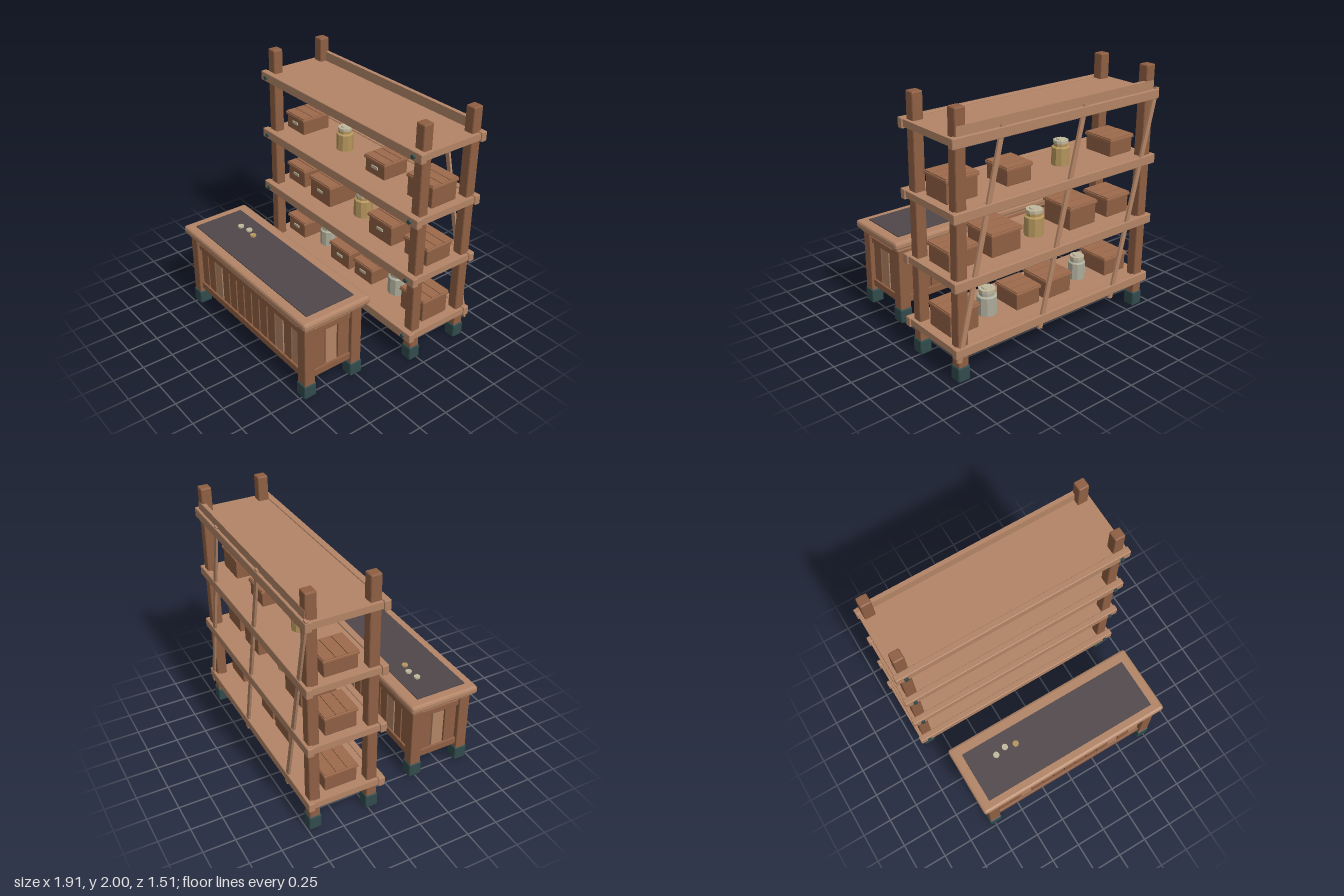
import * as THREE from 'three';
import { RoundedBoxGeometry } from 'three/addons/geometries/RoundedBoxGeometry.js';

const mat = (name, color) => {
  const m = new THREE.MeshStandardMaterial({ color });
  m.name = name;
  return m;
};

export function createModel() {
  const lightWood = mat('light wood', 0xb28466);
  const darkWood = mat('dark wood', 0x8f5f43);
  const midWood = mat('lid wood', 0x9d6a4b);
  const iron = mat('dark iron', 0x304a4c);
  const slate = mat('slate mat', 0x51474a);
  const gold = mat('amber glass', 0xb5955c);
  const pale = mat('pale metal', 0xc0b89c);
  const stone = mat('pale glass', 0xaeac9a);

  const model = new THREE.Group();
  model.name = 'storageShelfAndWorkbench';

  const group = (name, parent = model) => {
    const g = new THREE.Group();
    g.name = name;
    parent.add(g);
    return g;
  };
  const add = (parent, name, geo, material, x, y, z) => {
    const m = new THREE.Mesh(geo, material);
    m.name = name;
    m.position.set(x, y, z);
    parent.add(m);
    return m;
  };
  // Box with chamfered edges, flat normals
  const box = (parent, name, material, [w, h, d], [x, y, z], bevel = 0) => {
    let geo;
    if (bevel) {
      geo = new RoundedBoxGeometry(w, h, d, 1, bevel);
      geo.computeVertexNormals();
    } else geo = new THREE.BoxGeometry(w, h, d);
    return add(parent, name, geo, material, x, y, z);
  };

  // ---- Tall shelf ----
  const shelf = group('shelf');
  for (const x of [-0.875, 0.875]) {
    for (const z of [-0.222, -0.69]) {
      box(shelf, 'post', darkWood, [0.085, 1.95, 0.085], [x, 1.025, z], 0.01);
      box(shelf, 'postFoot', iron, [0.1, 0.12, 0.1], [x, 0.065, z], 0.012);
    }
  }
  const levels = [0.25, 0.76, 1.26, 1.772];
  for (const y of levels) {
    box(shelf, 'shelfBoard', lightWood, [1.89, 0.052, 0.55], [0, y + 0.003, -0.445]);
    box(shelf, 'frontRail', lightWood, [1.91, 0.076, 0.052], [0, y, -0.156], 0.006);
    box(shelf, 'backRail', lightWood, [1.91, 0.076, 0.05], [0, y, -0.73], 0.006);
    for (const x of [-0.88, 0.88]) {
      const bolt = add(shelf, 'bolt', new THREE.CylinderGeometry(0.016, 0.016, 0.02, 8), iron, x, y, -0.123);
      bolt.rotation.x = Math.PI / 2;
    }
  }
  box(shelf, 'topLip', lightWood, [1.82, 0.08, 0.034], [0, 1.838, -0.718]);
  // Slanted braces across the back
  for (const x of [-0.745, -0.01, 0.73]) {
    const brace = box(shelf, 'backBrace', lightWood, [0.038, 1.69, 0.018], [x, 1.0, -0.74]);
    brace.rotation.z = Math.atan(0.235);
  }

  // ---- Lidded boxes ----
  const crate = (x, y, w, h, d, z = -0.455) => {
    const g = group('storageBox');
    g.position.set(x, y, z);
    const bodyH = h - 0.03;
    box(g, 'boxBody', darkWood, [w - 0.02, bodyH, d - 0.02], [0, bodyH / 2, 0], 0.005);
    box(g, 'boxLid', midWood, [w, 0.022, d], [0, bodyH + 0.011, 0], 0.004);
    for (const i of [-1, 0, 1]) {
      box(g, 'lidSlat', midWood, [w - 0.01, 0.008, d / 3 - 0.008], [0, h - 0.004, i * (d / 3 - 0.002)]);
    }
    box(g, 'boxLabel', pale, [0.068, 0.022, 0.009], [0, bodyH * 0.62, d / 2 - 0.006]);
  };
  const Y = levels.map((y) => y + 0.03);
  crate(-0.755, Y[2], 0.25, 0.145, 0.28);
  crate(0.25, Y[2], 0.24, 0.142, 0.25);
  crate(0.75, Y[2], 0.28, 0.185, 0.26);
  crate(-0.755, Y[1], 0.25, 0.165, 0.27);
  crate(-0.375, Y[1], 0.285, 0.19, 0.31, -0.44);
  crate(0.375, Y[1], 0.285, 0.185, 0.3, -0.445);
  crate(0.75, Y[1], 0.265, 0.155, 0.26);
  crate(-0.755, Y[0], 0.25, 0.155, 0.28);
  crate(-0.14, Y[0], 0.27, 0.165, 0.28);
  crate(0.155, Y[0], 0.24, 0.15, 0.26);
  crate(0.75, Y[0], 0.27, 0.195, 0.27);

  // ---- Jars ----
  const jar = (x, y, r, h, glass) => {
    const g = group('jar');
    g.position.set(x, y, -0.45);
    const lathe = (name, pts, material) => {
      const geo = new THREE.LatheGeometry(pts.map((p) => new THREE.Vector2(p[0] * r, p[1] * h)), 10).toNonIndexed();
      geo.computeVertexNormals();
      add(g, name, geo, material, 0, 0, 0);
    };
    lathe('jarBody', [[0, 0], [1, 0], [1, 0.68], [0.76, 0.72], [0.76, 0.85], [0, 0.85]], glass);
    lathe('jarLid', [[0, 0.84], [0.84, 0.84], [0.84, 0.95], [0.5, 0.95], [0.45, 1], [0, 1]], pale);
  };
  jar(-0.25, Y[2], 0.069, 0.2, gold);
  jar(0, Y[1], 0.078, 0.215, gold);
  jar(0.45, Y[0], 0.078, 0.215, stone);
  jar(-0.46, Y[0], 0.069, 0.2, stone);

  // ---- Workbench ----
  const bench = group('workbench');
  const cz = 0.46;
  box(bench, 'benchTop', lightWood, [1.66, 0.066, 0.59], [0, 0.687, cz], 0.02);
  box(bench, 'topSupport', lightWood, [1.6, 0.026, 0.53], [0, 0.645, cz]);
  box(bench, 'workMat', slate, [1.5, 0.009, 0.425], [0, 0.7225, cz + 0.01]);
  [[-0.52, 0.4, pale], [-0.43, 0.38, pale], [-0.343, 0.4, gold]].forEach(([x, z, m]) =>
    add(bench, 'coin', new THREE.CylinderGeometry(0.025, 0.025, 0.014, 12), m, x, 0.734, z));
  for (const x of [-0.737, 0.737]) {
    for (const z of [0.25, 0.675]) {
      box(bench, 'benchLeg', darkWood, [0.094, 0.575, 0.092], [x, 0.348, z], 0.008);
      box(bench, 'benchFoot', iron, [0.106, 0.12, 0.108], [x, 0.065, z], 0.012);
    }
  }
  box(bench, 'benchFloor', darkWood, [1.44, 0.02, 0.42], [0, 0.18, cz]);

  // One framed plank wall, built facing +z and then turned into place
  const wall = (name, length, count, lightPlanks, x, z, turn) => {
    const g = group(name, bench);
    g.position.set(x, 0, z);
    g.rotation.y = turn;
    box(g, 'upperRail', darkWood, [length, 0.05, 0.06], [0, 0.57, 0], 0.004);
    box(g, 'lowerRail', darkWood, [length, 0.06, 0.06], [0, 0.19, 0], 0.004);
    box(g, 'panelBacking', darkWood, [length, 0.34, 0.012], [0, 0.382, -0.012]);
    const pitch = length / count;
    for (let i = 0; i < count; i++) {
      box(g, 'plank', lightPlanks.includes(i) ? lightWood : darkWood,
        [pitch - 0.012, 0.335, 0.022], [-length / 2 + pitch * (i + 0.5), 0.382, 0.004], 0.003);
    }
  };
  wall('frontPanel', 1.37, 13, [2, 10, 12], 0, 0.675, 0);
  wall('backPanel', 1.37, 13, [4, 10], 0, 0.25, Math.PI);
  wall('leftPanel', 0.34, 3, [1], 0.737, cz, Math.PI / 2);
  wall('rightPanel', 0.34, 3, [1], -0.737, cz, -Math.PI / 2);

  return model;
}
